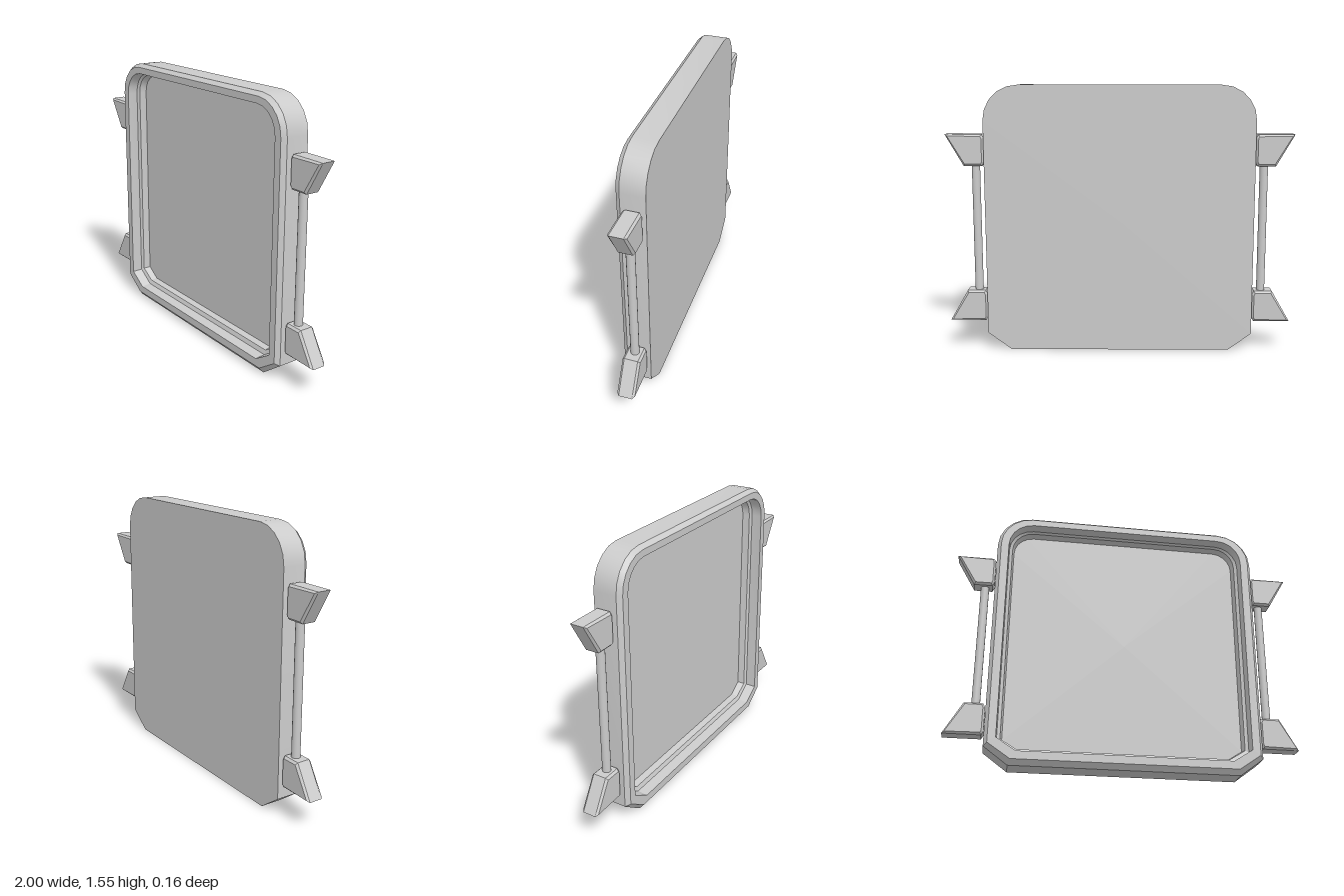
import * as THREE from 'three';
import { toCreasedNormals } from 'three/addons/utils/BufferGeometryUtils.js';

const grey = new THREE.MeshStandardMaterial({ color: 0xcccccc });

// Counter-clockwise outline: rounded top corners, chamfered bottom corners
function outline({ w, top, bottom, r, cx, cy }) {
  const half = [[w - cx, bottom], [w, bottom + cy]];
  const steps = 5;
  for (let i = 0; i <= steps; i++) {
    const a = (i / steps) * Math.PI / 2;
    half.push([w - r + r * Math.cos(a), top - r + r * Math.sin(a)]);
  }
  return [...half, ...half.map(([x, y]) => [-x, y]).reverse()];
}

// Tray: outline loops joined from the back, over the rim and down to the panel
function trayGeometry() {
  const levels = [
    { z: -0.08, w: 0.775, top: 1.55, bottom: 0, r: 0.2, cx: 0.135, cy: 0.1 },
    { z: 0.055, w: 0.775, top: 1.55, bottom: 0, r: 0.2, cx: 0.135, cy: 0.1 },
    { z: 0.08, w: 0.755, top: 1.53, bottom: 0.03, r: 0.18, cx: 0.125, cy: 0.085 },
    { z: 0.08, w: 0.71, top: 1.492, bottom: 0.075, r: 0.145, cx: 0.11, cy: 0.07 },
    { z: 0.02, w: 0.705, top: 1.487, bottom: 0.081, r: 0.14, cx: 0.105, cy: 0.068 },
    { z: 0.01, w: 0.687, top: 1.475, bottom: 0.105, r: 0.125, cx: 0.09, cy: 0.055 },
    { z: -0.03, w: 0.677, top: 1.465, bottom: 0.11, r: 0.115, cx: 0.085, cy: 0.055 },
  ];
  const pos = [];
  const index = [];
  levels.forEach((l) => outline(l).forEach(([x, y]) => pos.push(x, y, l.z)));
  const n = pos.length / 3 / levels.length;
  const last = (levels.length - 1) * n;
  const back = pos.length / 3;
  pos.push(0, 0.775, levels[0].z, 0, 0.775, levels.at(-1).z);
  for (let j = 0; j < n; j++) {
    const k = (j + 1) % n;
    for (let b = 0; b < last; b += n) {
      index.push(b + j, b + k, b + n + k, b + j, b + n + k, b + n + j);
    }
    index.push(back, k, j, back + 1, last + j, last + k);
  }
  const geo = new THREE.BufferGeometry();
  geo.setAttribute('position', new THREE.Float32BufferAttribute(pos, 3));
  geo.setIndex(index);
  return toCreasedNormals(geo, 0.45);
}

// Slanted bracket with bevelled edges, mirrored by the signs sx and sy
function bracketGeometry(sx, sy) {
  const pts = [[0.778, 0.39], [0.778, 0.53], [0.79, 0.55], [1, 0.55], [0.895, 0.368], [0.79, 0.368]];
  const shape = new THREE.Shape(pts.map(([x, y]) => new THREE.Vector2(sx * x, 0.72 + sy * y)));
  const bevel = 0.012;
  const geo = new THREE.ExtrudeGeometry(shape, {
    depth: 0.1 - 2 * bevel, bevelEnabled: true, bevelSegments: 1,
    bevelSize: bevel, bevelThickness: bevel, bevelOffset: -bevel,
  });
  return geo.translate(0, 0, -0.063 + bevel);
}

export function createModel() {
  const group = new THREE.Group();
  const add = (name, geo) => {
    const mesh = new THREE.Mesh(geo, grey);
    mesh.name = name;
    group.add(mesh);
    return mesh;
  };

  add('tray', trayGeometry());

  // Side handles: two brackets and a rod each
  for (const [side, sx] of [['left', 1], ['right', -1]]) {
    add(side + 'UpperBracket', bracketGeometry(sx, 1));
    add(side + 'LowerBracket', bracketGeometry(sx, -1));
    const rod = add(side + 'HandleRod', new THREE.CylinderGeometry(0.024, 0.024, 0.8, 16));
    rod.position.set(sx * 0.832, 0.72, -0.013);
  }
  return group;
}
